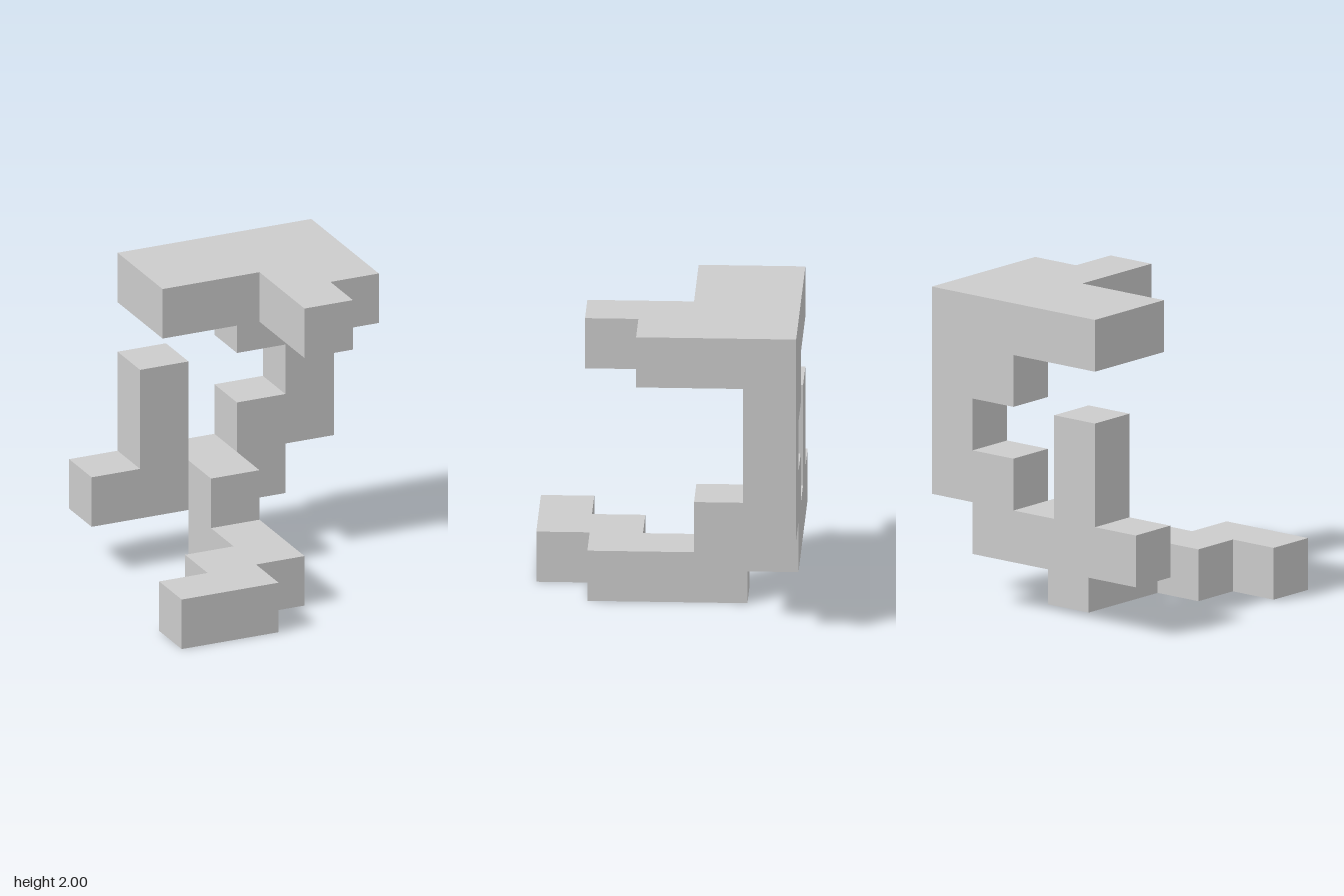
import * as THREE from 'three';

const U = 1 / 3; // edge of one cube cell
const OFF = -2.5 * U; // x and z of cell 0

const material = new THREE.MeshStandardMaterial({ color: 0xcccccc, flatShading: true });

// One-cell-thick slab from an outline given in cell corners
function slab(outline) {
  const shape = new THREE.Shape(outline.map(([a, b]) => new THREE.Vector2(OFF + a * U, b * U)));
  return new THREE.ExtrudeGeometry(shape, { depth: U, bevelEnabled: false });
}

// Horizontal slab: outline in (x, z) cells, resting on the given level
function floorSlab(outline, level) {
  return slab(outline).rotateX(Math.PI / 2).translate(0, (level + 1) * U, OFF);
}

// Upright slab: outline in (x, y) cells, at the given row counted from the back
function wallSlab(outline, row) {
  return slab(outline).translate(0, 0, OFF + row * U);
}

export function createModel() {
  const group = new THREE.Group();
  group.name = 'cubeStructure';
  const add = (name, geometry) => {
    const mesh = new THREE.Mesh(geometry, material);
    mesh.name = name;
    group.add(mesh);
  };

  // Stepped foot on the ground
  add('base', floorSlab([
    [2, 1], [3, 1], [3, 4], [2, 4], [2, 5], [0, 5], [0, 4], [1, 4], [1, 3], [2, 3],
  ], 0));

  // Single cube linking the foot to the back frame
  add('riser', wallSlab([[2, 1], [3, 1], [3, 2], [2, 2]], 1));

  // Upright back frame with a free-standing post and a notched column
  add('backFrame', wallSlab([
    [0, 1], [4, 1], [4, 2], [5, 2], [5, 5], [3, 5], [3, 4], [4, 4],
    [4, 3], [3, 3], [3, 2], [2, 2], [2, 4], [1, 4], [1, 2], [0, 2],
  ], 0));

  // Stepped roof plate
  add('roof', floorSlab([
    [1, 0], [5, 0], [5, 3], [4, 3], [4, 4], [3, 4], [3, 2], [1, 2],
  ], 5));

  return group;
}
